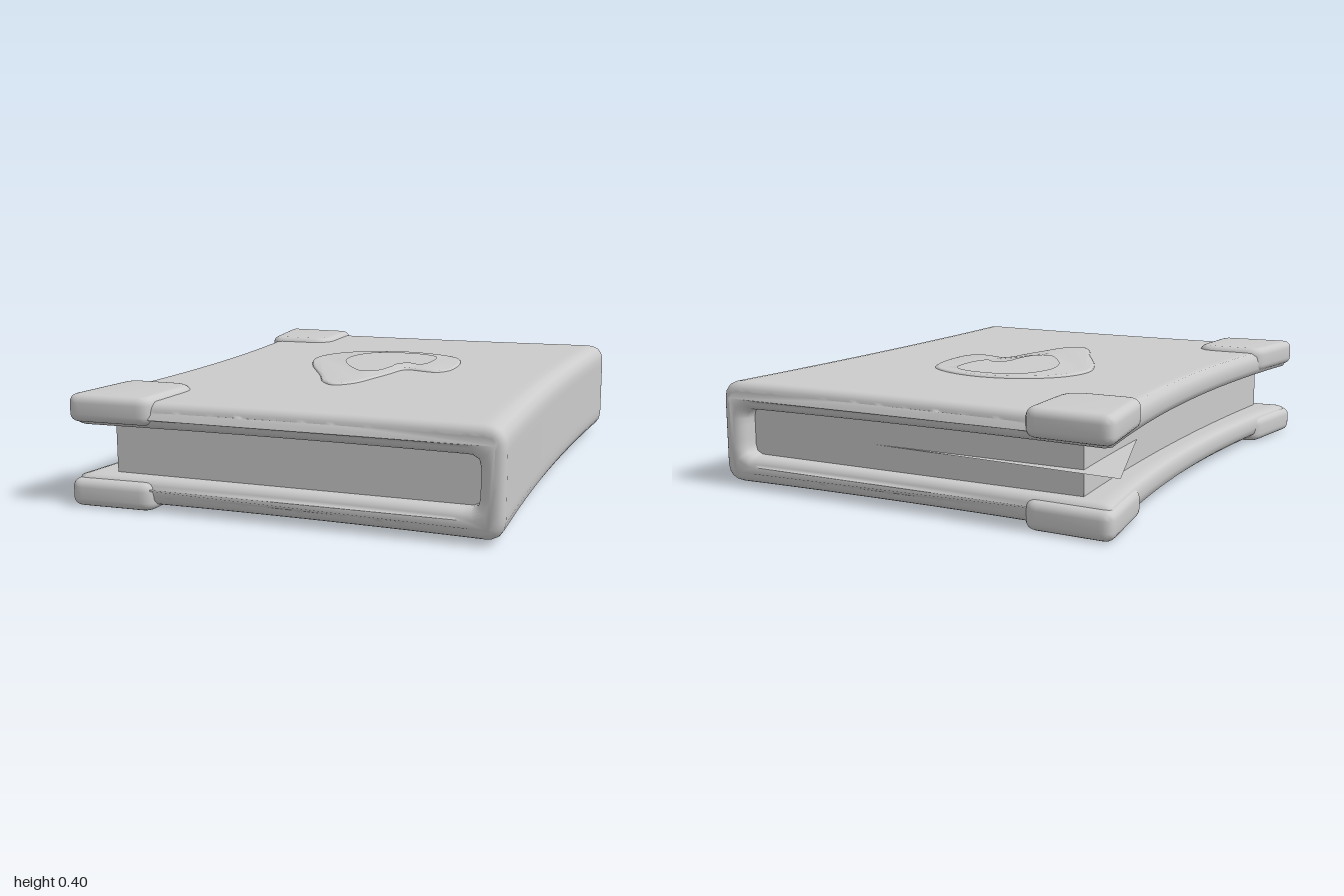
import * as THREE from 'three';
import { mergeVertices, toCreasedNormals } from 'three/addons/utils/BufferGeometryUtils.js';

const material = new THREE.MeshStandardMaterial({ color: 0xcccccc });
const thin = new THREE.MeshStandardMaterial({ color: 0xcccccc, side: THREE.DoubleSide });

function add(parent, name, geometry, mat = material) {
  const mesh = new THREE.Mesh(geometry, mat);
  mesh.name = name;
  parent.add(mesh);
  return mesh;
}

// Move every vertex by a rule
function warp(geometry, rule) {
  const p = geometry.attributes.position;
  const v = new THREE.Vector3();
  for (let i = 0; i < p.count; i++) {
    rule(v.fromBufferAttribute(p, i));
    p.setXYZ(i, v.x, v.y, v.z);
  }
  return geometry;
}

// Weld and average normals for a soft, sculpted surface
function soften(geometry) {
  geometry.deleteAttribute('uv');
  geometry.deleteAttribute('normal');
  const welded = mergeVertices(geometry, 1e-4);
  welded.computeVertexNormals();
  return welded;
}

// Closed outline of [x, y, radius] corners, each rounded
function roundedOutline(corners) {
  const shape = new THREE.Shape();
  const n = corners.length;
  corners.forEach(([x, y, r], i) => {
    const toward = ([cx, cy]) => {
      const d = new THREE.Vector2(cx - x, cy - y).normalize().multiplyScalar(r);
      return [x + d.x, y + d.y];
    };
    const a = toward(corners[(i + n - 1) % n]);
    const b = toward(corners[(i + 1) % n]);
    if (i === 0) shape.moveTo(...a); else shape.lineTo(...a);
    shape.quadraticCurveTo(x, y, ...b);
  });
  shape.closePath();
  return shape;
}

// Edges of the boards bow inwards between the corners
function bow(v) {
  const { x, z } = v;
  const along = Math.max(0, 1 - (z / 0.975) ** 2);
  const across = Math.max(0, 1 - (x / 0.78) ** 2);
  v.x *= 1 - (x < 0 ? 0.1 : 0.035) * along * Math.min(1, Math.abs(x) / 0.5);
  v.z *= 1 - 0.022 * across;
}

// Both boards and the spine as one U-shaped section
function coverGeometry() {
  const outline = roundedOutline([
    [-0.77, 0.02, 0.04], [0.785, 0.018, 0.07], [0.785, 0.392, 0.07], [-0.77, 0.385, 0.04],
    [-0.77, 0.29, 0.03], [0.7, 0.29, 0.035], [0.7, 0.115, 0.035], [-0.77, 0.115, 0.03],
  ]);
  const bevel = 0.035;
  const geometry = new THREE.ExtrudeGeometry(new THREE.Shape(outline.getSpacedPoints(260)), {
    depth: 1.95 - 2 * bevel, steps: 40, curveSegments: 1,
    bevelSize: bevel, bevelThickness: bevel, bevelOffset: -bevel, bevelSegments: 5,
  });
  geometry.translate(0, 0, -0.975 + bevel);
  return soften(warp(geometry, bow));
}

// Puffy cap gripping one board corner, drawn in plan (x, z)
function guardGeometry(sz) {
  let corners = [[-0.785, 0.997, 0.05], [-0.46, 0.985, 0.05], [-0.445, 0.635, 0.1], [-0.735, 0.635, 0.06]];
  corners = corners.map(([x, z, r]) => [x, -z * sz, r]);
  if (sz < 0) corners.reverse();
  const bevel = 0.03;
  const geometry = new THREE.ExtrudeGeometry(roundedOutline(corners), {
    depth: 0.1 - 2 * bevel, curveSegments: 6,
    bevelSize: bevel, bevelThickness: bevel, bevelOffset: -bevel, bevelSegments: 5,
  });
  geometry.rotateX(-Math.PI / 2).translate(0, bevel - 0.05, 0);
  return toCreasedNormals(geometry, 0.8);
}

// Smooth closed curve through [x, z] points, as plan points
function planLoop(points) {
  const curve = new THREE.CatmullRomCurve3(
    points.map(([x, z]) => new THREE.Vector3(x, -z, 0)), true, 'centripetal');
  return curve.getPoints(points.length * 4).slice(0, -1).map((p) => new THREE.Vector2(p.x, p.y));
}

// Raised teardrop ornament with an open middle
function ornamentGeometry() {
  const shape = new THREE.Shape(planLoop([
    [0, -0.45], [0.14, -0.425], [0.26, -0.35], [0.305, -0.24], [0.32, -0.13], [0.315, -0.02],
    [0.28, 0.03], [0.22, 0.02], [0.15, 0], [0.13, 0.03], [0.12, 0.1], [0.09, 0.25],
    [0.06, 0.37], [0, 0.43], [-0.06, 0.38], [-0.13, 0.24], [-0.27, -0.02], [-0.31, -0.17],
    [-0.27, -0.31], [-0.15, -0.415],
  ]));
  shape.holes.push(new THREE.Path(planLoop([
    [0, -0.4], [0.1, -0.39], [0.18, -0.34], [0.2, -0.25], [0.19, -0.13], [0.16, -0.1],
    [0.11, -0.13], [0.085, -0.09], [0.085, -0.02], [0.06, 0.1], [0, 0.13], [-0.05, 0.09],
    [-0.16, -0.09], [-0.18, -0.22], [-0.14, -0.34], [-0.07, -0.39],
  ])));
  const geometry = new THREE.ExtrudeGeometry(shape, {
    depth: 0.02, bevelSize: 0.012, bevelThickness: 0.008, bevelOffset: -0.012, bevelSegments: 3,
  });
  geometry.rotateX(-Math.PI / 2).translate(0, 0.368, 0);
  return toCreasedNormals(geometry, 0.8);
}

export function createModel() {
  const book = new THREE.Group();
  book.name = 'book';

  add(book, 'cover', coverGeometry());
  add(book, 'coverOrnament', ornamentGeometry());

  // Page block with a slightly hollow fore edge
  const pages = new THREE.BoxGeometry(1.35, 0.184, 1.8, 1, 1, 24);
  pages.translate(0.035, 0.2025, 0);
  warp(pages, (v) => { if (v.x < 0) v.x += 0.035 * (1 - (v.z / 0.9) ** 2); });
  add(book, 'pages', toCreasedNormals(pages, 0.5));

  // Loose sheet slipping out at the back
  const sheet = new THREE.ShapeGeometry(new THREE.Shape([
    new THREE.Vector2(-0.79, 0.955), new THREE.Vector2(-0.58, 0.3),
    new THREE.Vector2(0.3, 0.5), new THREE.Vector2(0.35, 0.89),
  ]));
  sheet.rotateX(-Math.PI / 2).translate(0, 0.203, 0);
  add(book, 'looseSheet', sheet, thin);

  // Corner guards on both boards
  for (const [board, y] of [['upper', 0.354], ['lower', 0.051]]) {
    for (const [end, sz] of [['Front', 1], ['Back', -1]]) {
      add(book, `${board}${end}CornerGuard`, guardGeometry(sz)).position.y = y;
    }
  }
  return book;
}
